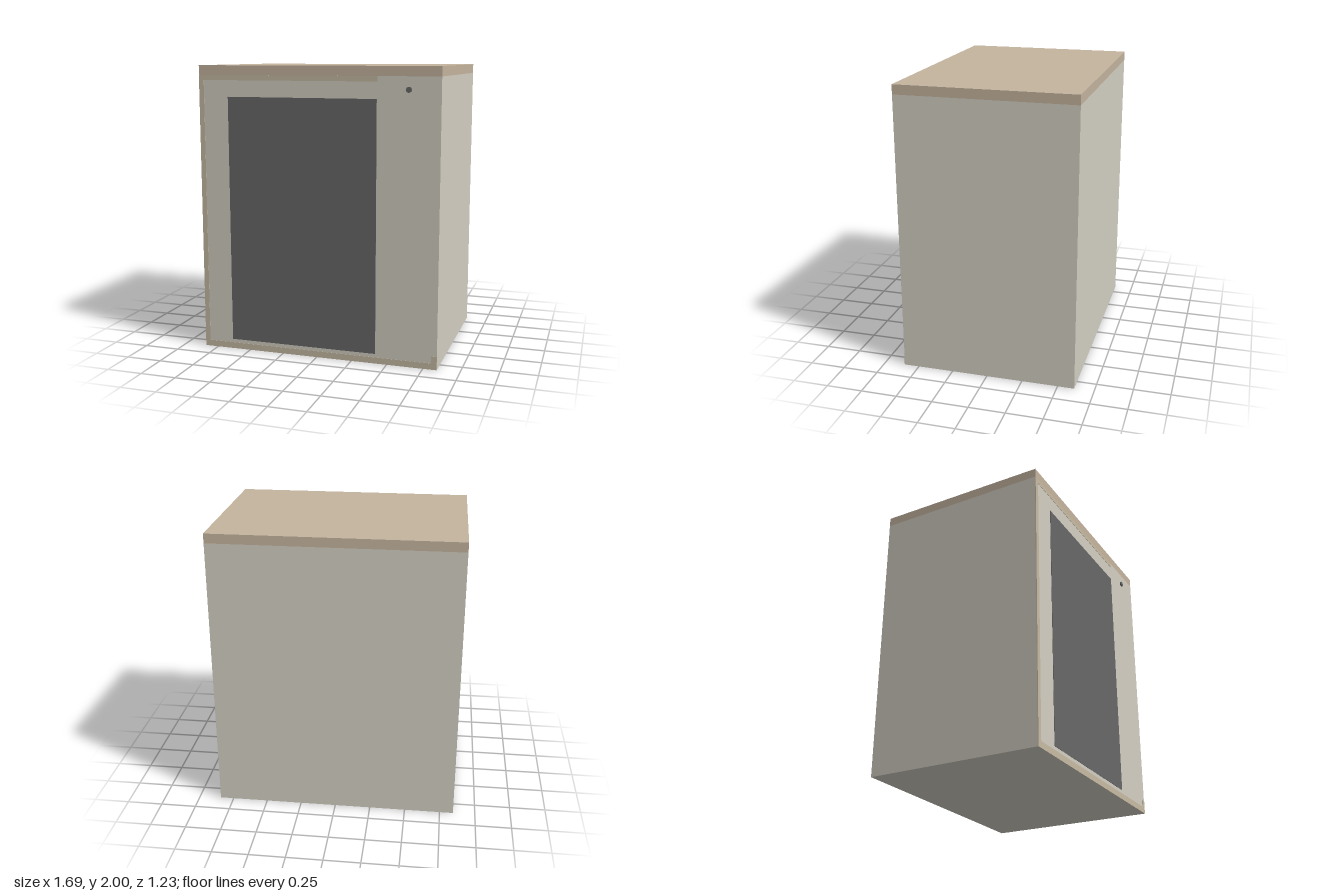
import * as THREE from 'three';

const mat = (color) => new THREE.MeshStandardMaterial({ color, roughness: 0.9 });
const CREAM = mat(0xd3cfc2), TAN = mat(0xc5b49e), TRIM = mat(0xc6baa2), DARK = mat(0x686868);

const BACK = -0.615, FRONT = 0.605, HALF = 0.845;

export function createModel() {
  const model = new THREE.Group();
  model.name = 'cabinet';

  // Box given by its lower and upper corners
  const slab = (name, material, [x0, y0, z0], [x1, y1, z1]) => {
    const mesh = new THREE.Mesh(new THREE.BoxGeometry(x1 - x0, y1 - y0, z1 - z0), material);
    mesh.name = name;
    mesh.position.set((x0 + x1) / 2, (y0 + y1) / 2, (z0 + z1) / 2);
    model.add(mesh);
  };

  // Carcass and worktop
  slab('body', CREAM, [-HALF, 0, BACK], [HALF, 1.935, FRONT]);
  slab('worktop', TAN, [-HALF, 1.935, BACK], [HALF, 2, FRONT]);

  // Thin pieces on the front face: name, material, x0, y0, x1, y1
  const facing = [
    ['leftTrim', TRIM, -HALF, 0, -0.81, 1.935],
    ['topTrim', TRIM, -0.81, 1.9, 0.425, 1.935],
    ['bottomTrim', TRIM, -0.81, 0, 0.805, 0.043],
    ['cornerTrim', TRIM, 0.805, 0, HALF, 0.092],
    ['doorPanel', DARK, -0.632, 0.068, 0.42, 1.788],
  ];
  for (const [name, material, x0, y0, x1, y1] of facing) {
    slab(name, material, [x0, y0, FRONT - 0.003], [x1, y1, FRONT + 0.002]);
  }

  // Round door knob
  const knob = new THREE.Mesh(new THREE.CylinderGeometry(0.019, 0.019, 0.02, 24), DARK);
  knob.name = 'knob';
  knob.rotation.x = Math.PI / 2;
  knob.position.set(0.633, 1.85, FRONT);
  model.add(knob);

  return model;
}
